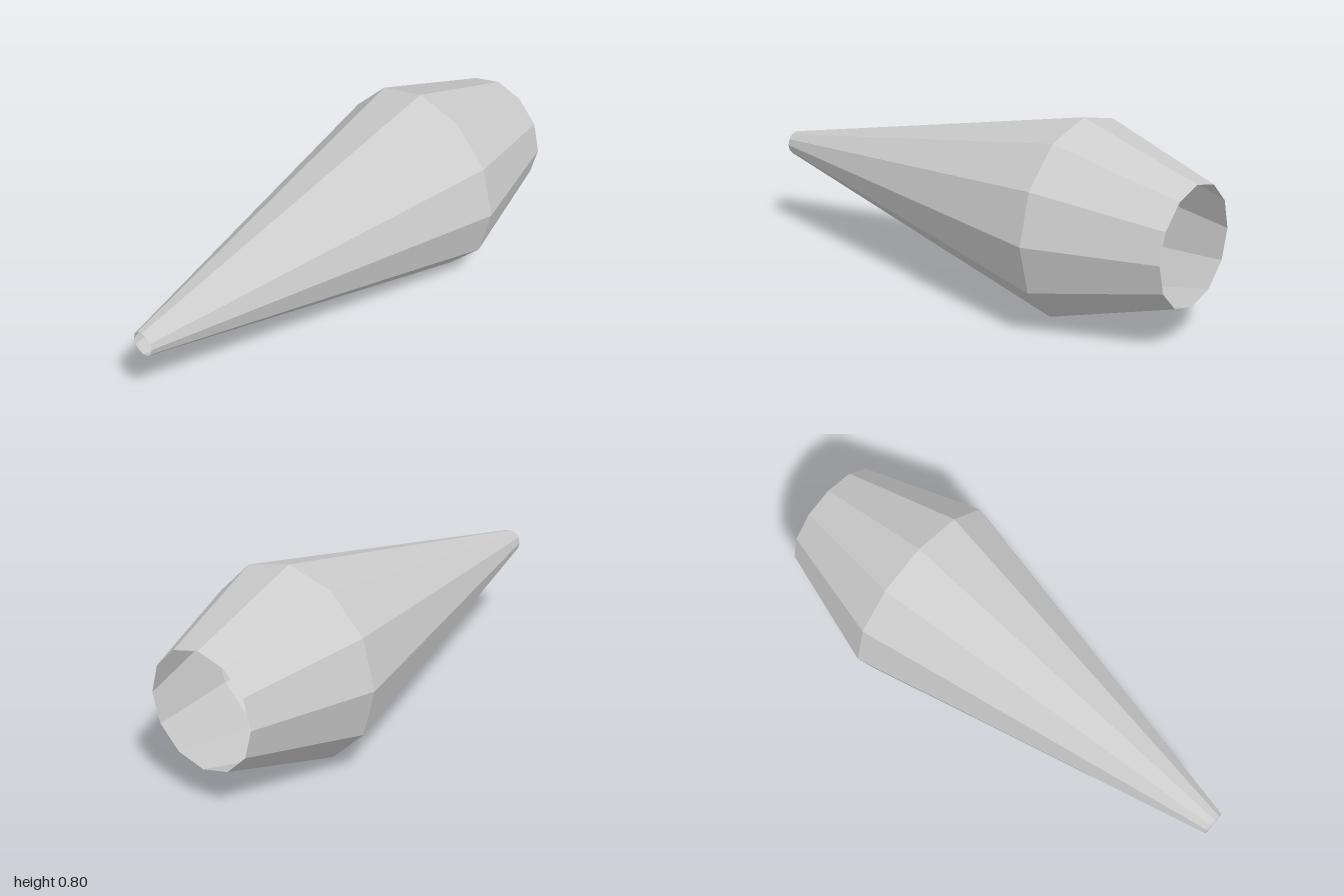
import * as THREE from 'three';

export function createModel() {
  const model = new THREE.Group();
  model.name = 'taperedNozzle';

  const grey = new THREE.MeshStandardMaterial({ color: 0xcccccc, flatShading: true, side: THREE.DoubleSide });
  grey.name = 'light grey';

  // Open twelve-sided shell: wide rear mouth, widest ring, narrow front mouth
  const profile = [[0.24, -1], [0.4, -0.5], [0.05, 1]].map(([r, z]) => new THREE.Vector2(r, z));
  const geometry = new THREE.LatheGeometry(profile, 12);
  geometry.rotateX(Math.PI / 2); // lay the axis along z

  const shell = new THREE.Mesh(geometry, grey);
  shell.name = 'shell';
  shell.position.y = 0.4;
  model.add(shell);

  return model;
}
